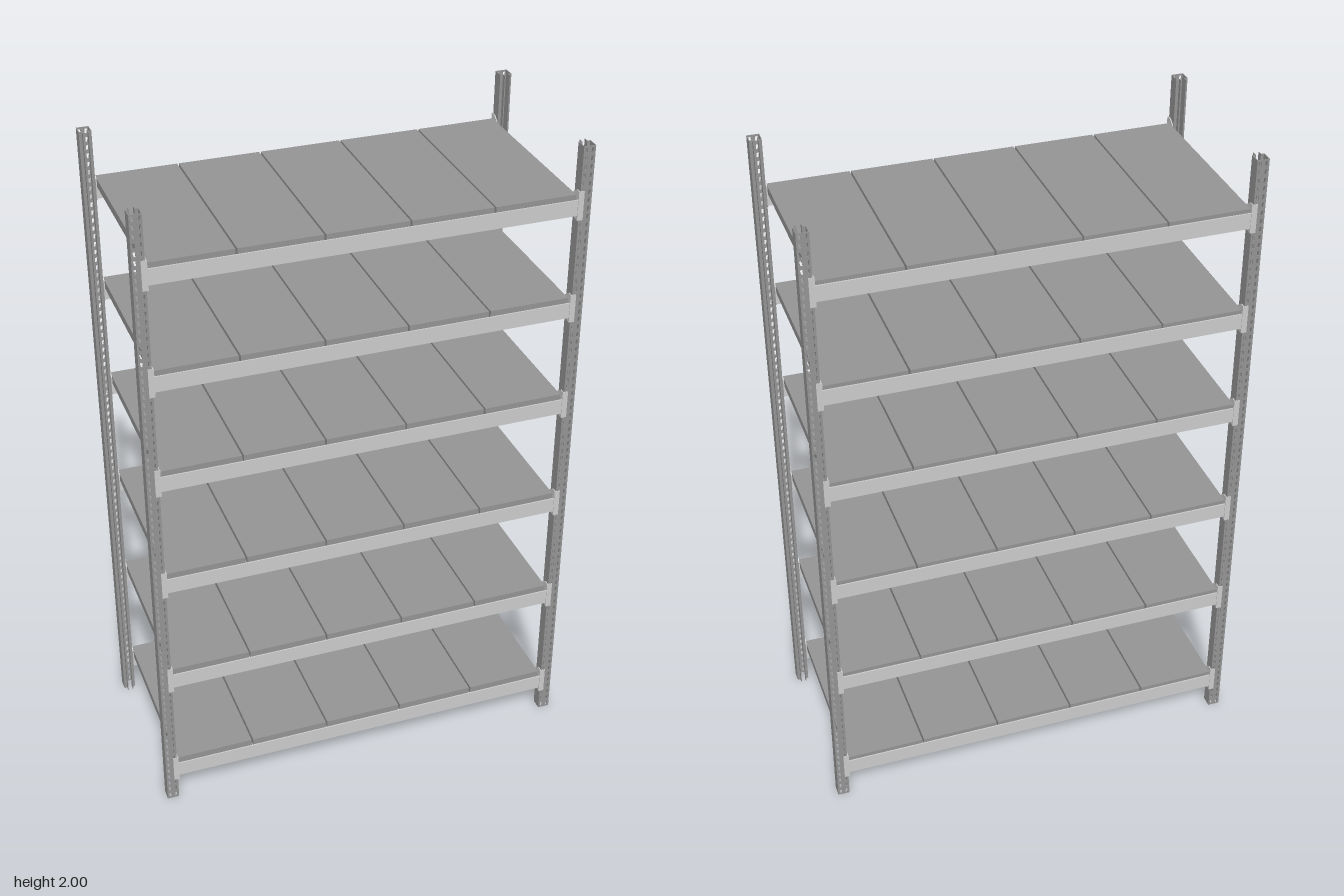
import * as THREE from 'three';

const light = new THREE.MeshStandardMaterial({ color: 0xcccccc, side: THREE.DoubleSide });
const dark = new THREE.MeshStandardMaterial({ color: 0x949494, side: THREE.DoubleSide });
const T = 0.002; // sheet thickness

// Box given by its min and max corners
function box(name, mat, x0, x1, y0, y1, z0, z1) {
  const m = new THREE.Mesh(new THREE.BoxGeometry(x1 - x0, y1 - y0, z1 - z0), mat);
  m.position.set((x0 + x1) / 2, (y0 + y1) / 2, (z0 + z1) / 2);
  m.name = name;
  return m;
}

const XI = 0.616, XO = 0.652, ZF = 0.295, ZS = 0.262, ZB = 0.247, STEP = 0.011;

// Perforated front face: two columns of slanted slots
function slottedFace() {
  const s = new THREE.Shape();
  s.moveTo(XI, 0).lineTo(XO, 0).lineTo(XO, 2).lineTo(XI, 2).closePath();
  const mid = (XI + XO) / 2;
  for (let i = 0; i < 80; i++) {
    const y = 0.0125 + i * 0.025;
    for (const d of [-1, 1]) {
      const cx = mid + d * 0.009;
      const h = new THREE.Path();
      h.moveTo(cx - d * 0.001 - 0.0025, y - 0.007).lineTo(cx - d * 0.001 + 0.0025, y - 0.007)
        .lineTo(cx + d * 0.001 + 0.0035, y + 0.007).lineTo(cx + d * 0.001 - 0.0035, y + 0.007).closePath();
      s.holes.push(h);
    }
  }
  return new THREE.ExtrudeGeometry(s, { depth: T, bevelEnabled: false });
}

// Open channel post with stepped-in rear lips
function makePost() {
  const g = new THREE.Group();
  g.name = 'post';
  const face = new THREE.Mesh(slottedFace(), dark);
  face.name = 'postFace';
  face.position.z = ZF - T;
  g.add(
    face,
    box('outerWeb', dark, XO - T, XO, 0, 2, ZS, ZF - T),
    box('outerStep', dark, XO - STEP, XO, 0, 2, ZS - T, ZS),
    box('outerLip', dark, XO - STEP, XO - STEP + T, 0, 2, ZB, ZS - T),
    box('innerWeb', dark, XI, XI + T, 0, 2, ZS, ZF - T),
    box('innerStep', dark, XI, XI + STEP, 0, 2, ZS - T, ZS),
    box('innerLip', dark, XI + STEP - T, XI + STEP, 0, 2, ZB, ZS - T)
  );
  return g;
}

// Stepped beam: thin upstand outside, ledge for the panels inside
function beamGeometry() {
  const pts = [[0.295, -0.01], [0.291, -0.01], [0.291, -0.027], [0.26, -0.027], [0.26, -0.058], [0.295, -0.058]];
  const s = new THREE.Shape(pts.map(([z, y]) => new THREE.Vector2(-z, y)));
  const g = new THREE.ExtrudeGeometry(s, { depth: 1.224, bevelEnabled: false });
  g.translate(0, 0, -0.612);
  g.rotateY(Math.PI / 2); // profile now lies in z/y and runs along x
  return g;
}

// Angle bracket that hooks the beam to a post
function makeBracket() {
  const g = new THREE.Group();
  g.name = 'bracket';
  g.add(box('bracketFace', light, 0.611, 0.628, -0.072, 0.016, ZF, ZF + T));
  const s = new THREE.Shape();
  s.moveTo(-0.297, -0.072).lineTo(-0.28, -0.072).lineTo(-0.26, -0.058)
    .lineTo(-0.26, 0.002).lineTo(-0.28, 0.016).lineTo(-0.297, 0.016).closePath();
  const geo = new THREE.ExtrudeGeometry(s, { depth: 0.003, bevelEnabled: false });
  geo.rotateY(Math.PI / 2);
  const side = new THREE.Mesh(geo, light);
  side.name = 'bracketSide';
  side.position.x = 0.612;
  g.add(side);
  return g;
}

// Shelf panel: folded tray, open underneath
function makePanel() {
  const g = new THREE.Group();
  g.name = 'shelfPanel';
  const w = 0.12, d = 0.285, h = 0.025;
  g.add(box('panelTop', dark, -w, w, -T, 0.001, -d, d));
  for (const s of [-1, 1]) {
    const span = (a, b) => (s > 0 ? [a, b] : [-b, -a]);
    g.add(
      box('panelSide', dark, ...span(w - T, w), -h, -T, -d, d),
      box('panelEnd', dark, -w + T, w - T, -h, -T, ...span(d - T, d))
    );
  }
  return g;
}

export function createModel() {
  const model = new THREE.Group();
  model.name = 'shelvingRack';

  // Four mirrored corner posts
  const post = makePost();
  for (const sx of [-1, 1]) for (const sz of [-1, 1]) {
    const p = post.clone();
    p.scale.set(sx, 1, sz);
    model.add(p);
  }

  // Shelf levels, measured at the panel tops
  const beamGeo = beamGeometry();
  const bracket = makeBracket();
  const panel = makePanel();
  for (const y of [0.145, 0.498, 0.853, 1.207, 1.53, 1.852]) {
    const shelf = new THREE.Group();
    shelf.name = 'shelf';
    shelf.position.y = y;
    for (const sz of [-1, 1]) {
      const beam = new THREE.Mesh(beamGeo, light);
      beam.name = 'beam';
      beam.scale.z = sz;
      shelf.add(beam);
      for (const sx of [-1, 1]) {
        const b = bracket.clone();
        b.scale.set(sx, 1, sz);
        shelf.add(b);
      }
    }
    for (let i = -2; i <= 2; i++) {
      const p = panel.clone();
      p.position.set(i * 0.2455, 0, -0.004);
      shelf.add(p);
    }
    model.add(shelf);
  }
  return model;
}
